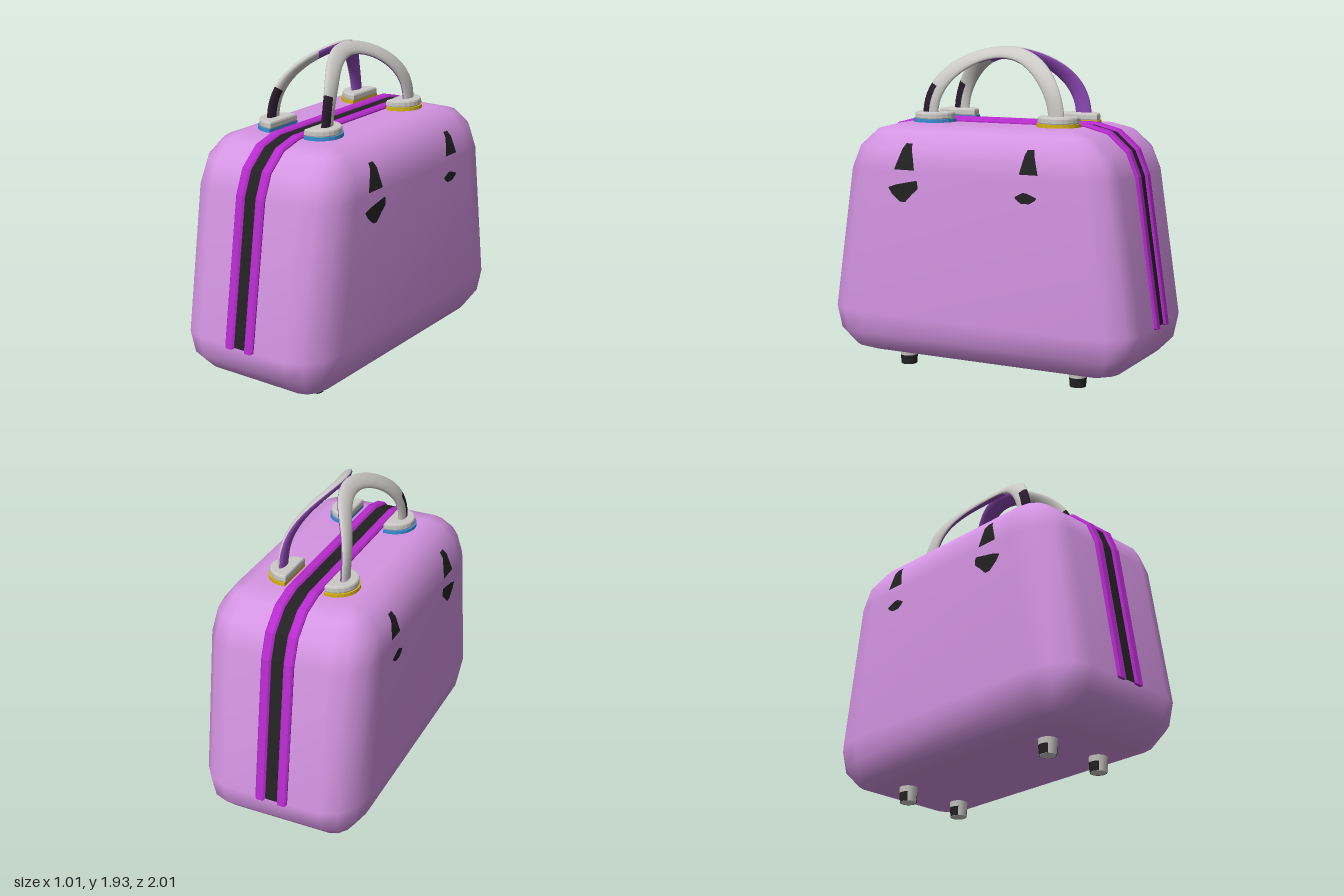
import * as THREE from 'three';
import { mergeVertices } from 'three/addons/utils/BufferGeometryUtils.js';

const mat = (name, color, side = THREE.FrontSide) => {
  const m = new THREE.MeshStandardMaterial({ color, side });
  m.name = name;
  return m;
};
const RAD = Math.PI / 180;
const SHIFT = -0.01; // the top fittings sit slightly off centre

// Vertical stations of the shell: rounded bottom, tapering wall, rounded top
const stations = [];
for (const [base, from] of [[0.36, -90], [1.21, 0]]) {
  for (let k = 0; k < 4; k++) {
    const phi = (from + k * 30) * RAD;
    const y = base + 0.27 * Math.sin(phi), c = Math.max(0, Math.cos(phi));
    const halfZ = y < 0.359 ? 0.992 : 0.985 - (y - 0.36) * 0.151;
    stations.push({ phi, y, c, cz: halfZ - 0.27, z: halfZ - 0.27 + 0.27 * c, x: 0.3 + 0.2 * c });
  }
}

// Shell lofted through rounded rectangles
function shellGeometry() {
  const pos = [], idx = [], n = 16;
  for (const s of stations) {
    for (let q = 0; q < 4; q++) {
      const sx = q === 0 || q === 3 ? 1 : -1, sz = q < 2 ? 1 : -1;
      for (let k = 0; k < 4; k++) {
        const a = (q * 90 + k * 30) * RAD;
        pos.push(sx * 0.3 + 0.2 * s.c * Math.cos(a), s.y, sz * s.cz + 0.27 * s.c * Math.sin(a));
      }
    }
  }
  const rows = stations.length;
  for (let i = 0; i < rows - 1; i++) {
    for (let j = 0; j < n; j++) {
      const a = i * n + j, b = i * n + (j + 1) % n;
      idx.push(a, a + n, b, b, a + n, b + n);
    }
  }
  const t = (rows - 1) * n;
  for (let j = 1; j < n - 1; j++) idx.push(0, j, j + 1, t, t + j + 1, t + j);
  let g = new THREE.BufferGeometry();
  g.setAttribute('position', new THREE.Float32BufferAttribute(pos, 3));
  g.setIndex(idx);
  g = mergeVertices(g, 1e-4);
  g.computeVertexNormals();
  return g;
}

// Band that runs up the front, over the top and down the back
function bandGeometry(x0, x1, lift, bevel) {
  const wall = stations.slice(3);
  const side = d => {
    const half = wall.map(s => [s.z + d * Math.cos(s.phi), s.y + d * Math.sin(s.phi)]);
    return [...half, ...half.slice().reverse().map(([z, y]) => [-z, y])];
  };
  const pts = [...side(lift - bevel), ...side(-0.02).reverse()].map(p => new THREE.Vector2(...p));
  const g = new THREE.ExtrudeGeometry(new THREE.Shape(pts), {
    depth: x1 - x0 - 2 * bevel, bevelEnabled: bevel > 0, bevelSize: bevel, bevelThickness: bevel, bevelSegments: 1,
  });
  return g.rotateY(-Math.PI / 2).translate(x1 - bevel, 0, 0);
}

// Thin painted mark on a side wall; rows are [y, z from, z to]
function markGeometry(rows, s) {
  const pos = [], idx = [];
  for (const [y, z0, z1] of rows) {
    let x = 0.5;
    for (let i = 4; i < 7; i++) {
      const a = stations[i], b = stations[i + 1];
      if (y >= a.y && y <= b.y) x = a.x + (b.x - a.x) * (y - a.y) / (b.y - a.y);
    }
    pos.push(s * (x + 0.005), y + 0.002, z0, s * (x + 0.005), y + 0.002, z1);
  }
  for (let i = 0; i < rows.length - 1; i++) {
    const a = 2 * i;
    if (s > 0) idx.push(a, a + 2, a + 1, a + 1, a + 2, a + 3);
    else idx.push(a, a + 1, a + 2, a + 1, a + 3, a + 2);
  }
  const g = new THREE.BufferGeometry();
  g.setAttribute('position', new THREE.Float32BufferAttribute(pos, 3));
  g.setIndex(idx);
  g.computeVertexNormals();
  return g;
}

// Arched handle with oval section; groups: 0 grey, 1 purple inside, 2 dark front foot
function handleGeometry(s) {
  const N = 40, M = 16, pos = [], groups = [[], [], []];
  const point = t => {
    const v = Math.sin(t);
    return new THREE.Vector3(s * (0.04 + 0.15 * (1 - v ** 3)) + SHIFT, 1.52 + 0.37 * v, 0.41 * Math.cos(t));
  };
  for (let i = 0; i <= N; i++) {
    const t = Math.PI * i / N, p = point(t);
    const T = point(t + 0.001).sub(point(t - 0.001)).normalize();
    const normal = new THREE.Vector3(s, 1.216 * Math.sin(t) ** 2, 0).normalize();
    const wide = normal.clone().cross(T);
    for (let j = 0; j < M; j++) {
      const a = 2 * Math.PI * j / M;
      const v = p.clone().addScaledVector(wide, 0.05 * Math.cos(a)).addScaledVector(normal, 0.022 * Math.sin(a));
      pos.push(v.x, v.y, v.z);
      if (i === N) continue;
      const mid = 2 * Math.PI * (j + 0.5) / M;
      const foot = p.z > 0 && p.y < 1.67 && s * Math.cos(mid) > 0.1;
      const inner = Math.sin(mid) < 0 && p.z < 0.18;
      const k = i * M + j, l = i * M + (j + 1) % M;
      groups[foot ? 2 : inner ? 1 : 0].push(k, l, k + M, l, l + M, k + M);
    }
  }
  const g = new THREE.BufferGeometry();
  g.setAttribute('position', new THREE.Float32BufferAttribute(pos, 3));
  g.setIndex(groups.flat());
  let start = 0;
  groups.forEach((list, m) => { g.addGroup(start, list.length, m); start += list.length; });
  g.computeVertexNormals();
  return g;
}

// D-shaped plate with its flat edge facing the middle
function plateGeometry(r, flat, y0, y1, bevel) {
  const a0 = Math.acos(-flat / r), pts = [];
  for (let k = 0; k <= 12; k++) {
    const a = -a0 + 2 * a0 * k / 12;
    pts.push(new THREE.Vector2((r - bevel) * Math.cos(a), (r - bevel) * Math.sin(a)));
  }
  const g = new THREE.ExtrudeGeometry(new THREE.Shape(pts), {
    depth: y1 - y0 - 2 * bevel, bevelEnabled: bevel > 0, bevelSize: bevel, bevelThickness: bevel, bevelSegments: 2,
  });
  return g.rotateX(-Math.PI / 2).translate(0, y0 + bevel, 0);
}

export function createModel() {
  const pink = mat('orchid shell', 0xd494e2);
  const magenta = mat('magenta trim', 0xb62bcc);
  const black = mat('black', 0x222222, THREE.DoubleSide);
  const grey = mat('light grey', 0xcbc9c5);
  const purple = mat('purple', 0x8c48b4);
  const dark = mat('dark plum', 0x2a1c2c);
  const blue = mat('blue', 0x3b8fd4);
  const yellow = mat('yellow', 0xd6b414);

  const model = new THREE.Group();
  model.name = 'suitcase';
  const add = (name, geometry, material) => {
    const m = new THREE.Mesh(geometry, material);
    m.name = name;
    model.add(m);
    return m;
  };

  add('shell', shellGeometry(), pink);
  add('zipper', bandGeometry(-0.045, 0.033, 0.004, 0), black);
  add('rightTrim', bandGeometry(-0.104, -0.043, 0.018, 0.01), magenta);
  add('leftTrim', bandGeometry(0.031, 0.092, 0.018, 0.01), magenta);

  // Marks on both side walls
  const marks = [
    [[1.225, 0.335, 0.468], [1.25, 0.34, 0.46], [1.344, 0.362, 0.425], [1.375, 0.37, 0.41]],
    [[1.04, 0.395, 0.43], [1.085, 0.35, 0.485], [1.12, 0.31, 0.508], [1.14, 0.312, 0.45], [1.165, 0.315, 0.33]],
    [[1.24, -0.45, -0.335], [1.344, -0.42, -0.36], [1.375, -0.41, -0.37]],
    [[1.08, -0.40, -0.35], [1.1, -0.435, -0.32], [1.115, -0.445, -0.31], [1.14, -0.38, -0.36]],
  ];

  for (const s of [1, -1]) {
    const label = s > 0 ? 'left' : 'right';
    add(label + 'Handle', handleGeometry(s), [grey, purple, dark]);
    marks.forEach(rows => add(label + 'Mark', markGeometry(rows, s), black));

    for (const f of [1, -1]) {
      const end = label + (f > 0 ? 'Front' : 'Back');
      // Handle mounts
      const ring = add(end + 'MountRing', plateGeometry(0.13, 0.02, 1.47, 1.5, 0), f > 0 ? blue : yellow);
      const cap = add(end + 'MountCap', plateGeometry(0.122, 0.012, 1.494, 1.54, 0.012), grey);
      for (const m of [ring, cap]) {
        m.position.set(s * 0.14 + SHIFT, 0, f * 0.405);
        if (s < 0) m.rotation.y = Math.PI;
      }
      // Feet, dark around the lower back
      const foot = add(end + 'Foot', new THREE.CylinderGeometry(0.057, 0.045, 0.12, 16), grey);
      foot.position.set(s * 0.2, 0.06, f * 0.565);
      const band = add(end + 'FootBand',
        new THREE.CylinderGeometry(0.053, 0.048, 0.055, 16, 1, true, Math.PI / 4, Math.PI * 1.5), black);
      band.position.set(s * 0.2, 0.0275, f * 0.565);
    }
  }
  return model;
}
